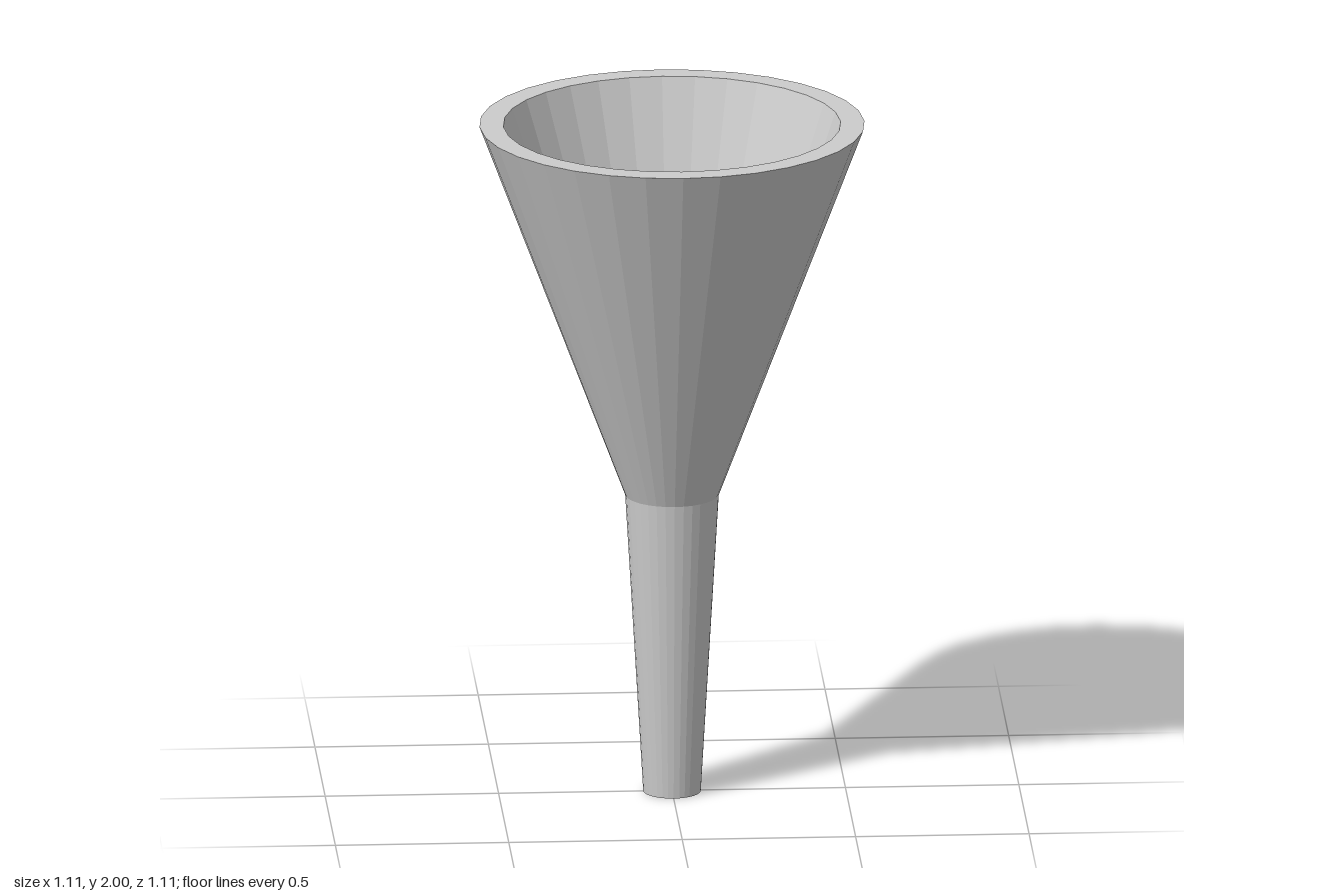
import * as THREE from 'three';

const SIDES = 32;
const NECK_Y = 0.89;

// Spins a wall profile of [radius, height] points around the y axis
function lathePart(name, profile, material) {
  const points = profile.map(([r, y]) => new THREE.Vector2(r, y));
  const mesh = new THREE.Mesh(new THREE.LatheGeometry(points, SIDES), material);
  mesh.name = name;
  return mesh;
}

export function createModel() {
  const group = new THREE.Group();
  group.name = 'funnel';
  const material = new THREE.MeshStandardMaterial({ color: 0xcccccc, flatShading: true });

  // Wide cone: outer wall, flat rim, inner wall
  group.add(lathePart('cone', [
    [0.135, NECK_Y], [0.555, 2], [0.486, 2], [0.103, NECK_Y],
  ], material));

  // Tapered hollow spout: inner wall, thin bottom lip, outer wall
  group.add(lathePart('spout', [
    [0.103, NECK_Y], [0.073, 0], [0.083, 0], [0.135, NECK_Y],
  ], material));

  return group;
}
